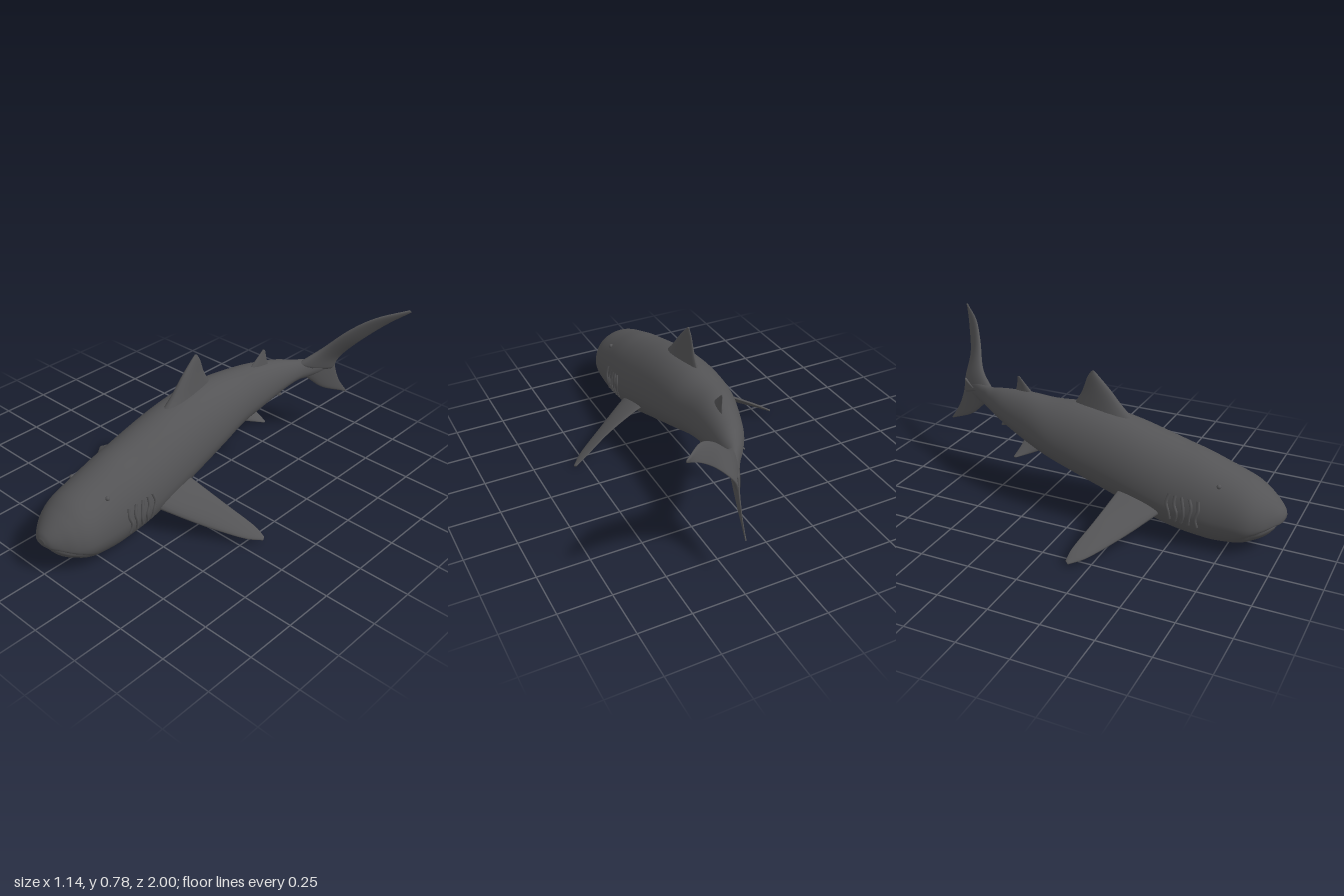
import * as THREE from 'three';

const V = (p) => new THREE.Vector3(...p);
const curve = (pts) => new THREE.CatmullRomCurve3(pts.map(V), false, 'catmullrom', 0.5);

// Skin a closed surface over rings of points, closing both ends
function loft(rings) {
  const n = rings[0].length;
  const centre = (r) => r.reduce((s, p) => s.add(p), new THREE.Vector3()).divideScalar(n);
  const fill = (p) => Array.from({ length: n }, () => p.clone());
  const rows = [fill(centre(rings[0])), ...rings, fill(centre(rings[rings.length - 1]))];
  const pos = [], index = [];
  rows.forEach((r) => r.forEach((p) => pos.push(p.x, p.y, p.z)));
  for (let i = 0; i < rows.length - 1; i++) {
    for (let j = 0; j < n; j++) {
      const a = i * n + j, b = i * n + (j + 1) % n;
      index.push(a, a + n, b, b, a + n, b + n);
    }
  }
  const g = new THREE.BufferGeometry();
  g.setAttribute('position', new THREE.Float32BufferAttribute(pos, 3));
  g.setIndex(index);
  g.computeVertexNormals();
  return g;
}

// Body stations: z, top y, bottom y, centre x, half width
const STATIONS = [
  [1.0, 0.195, 0.17, 0, 0.02], [0.985, 0.222, 0.135, 0, 0.055], [0.95, 0.258, 0.085, 0, 0.097],
  [0.9, 0.297, 0.05, 0, 0.138], [0.83, 0.34, 0.022, 0, 0.165], [0.7, 0.39, 0.003, 0, 0.176],
  [0.6, 0.425, 0.008, 0, 0.182], [0.5, 0.452, 0.022, 0, 0.186], [0.4, 0.48, 0.048, 0, 0.187],
  [0.25, 0.52, 0.1, 0, 0.182], [0.1, 0.548, 0.15, 0, 0.173], [-0.05, 0.556, 0.2, 0, 0.16],
  [-0.2, 0.546, 0.25, 0.003, 0.138], [-0.35, 0.542, 0.295, 0.03, 0.11], [-0.5, 0.522, 0.348, 0.065, 0.08],
  [-0.6, 0.498, 0.378, 0.1, 0.052], [-0.66, 0.49, 0.385, 0.13, 0.036], [-0.73, 0.485, 0.395, 0.162, 0.024],
  [-0.81, 0.46, 0.41, 0.192, 0.008],
];
const heights = curve(STATIONS.map((s) => [s[0], s[1], s[2]]));
const widths = curve(STATIONS.map((s) => [s[3], s[4], 0]));

function bodyPoint(t, a) {
  const h = heights.getPoint(t), w = widths.getPoint(t);
  const mid = h.z + 0.42 * (h.y - h.z), s = Math.sin(a);
  return new THREE.Vector3(w.x + w.y * Math.cos(a), mid + s * (s > 0 ? h.y - mid : mid - h.z), h.x);
}

// Set the lower jaw back and press in the mouth line
function shapeMouth(p) {
  if (p.z < 0.8) return p;
  const line = 0.145 - 0.45 * Math.max(0, 0.97 - p.z), d = p.y - line;
  const fade = Math.min(1, (p.z - 0.8) / 0.08);
  const jaw = THREE.MathUtils.smoothstep(-d, -0.004, 0.012);
  const inset = fade * (0.014 * Math.exp(-((d / 0.009) ** 2)) + 0.012 * jaw);
  p.x *= 1 - inset * 5;
  p.z -= inset * 1.3;
  return p;
}

function bodyGeometry(rows = 170, sides = 72) {
  const rings = [];
  for (let i = 0; i <= rows; i++) {
    rings.push(Array.from({ length: sides }, (_, j) => shapeMouth(bodyPoint(i / rows, (j / sides) * Math.PI * 2))));
  }
  return loft(rings);
}

// Point on the flank at a given z and y
function flankPoint(z, y, side) {
  let lo = 0, hi = 1;
  for (let k = 0; k < 30; k++) {
    const m = (lo + hi) / 2;
    if (heights.getPoint(m).x > z) lo = m; else hi = m;
  }
  const h = heights.getPoint(lo), mid = h.z + 0.42 * (h.y - h.z);
  const a = Math.asin(THREE.MathUtils.clamp((y - mid) / (y > mid ? h.y - mid : mid - h.z), -1, 1));
  return bodyPoint(lo, side > 0 ? a : Math.PI - a);
}

// Fin between a leading and a trailing edge, with a rounded foil section
function finGeometry(lead, trail, thick, thin = 0.003, rows = 28, sides = 20) {
  const L = curve(lead), T = curve(trail);
  const mid = (t) => L.getPoint(t).add(T.getPoint(t)).multiplyScalar(0.5);
  const rings = [];
  for (let i = 0; i <= rows; i++) {
    const t = i / rows, c = mid(t);
    const chord = L.getPoint(t).sub(c);
    const span = mid(Math.min(1, t + 0.02)).sub(mid(Math.max(0, t - 0.02)));
    const n = chord.clone().cross(span).normalize();
    const half = Math.min(thin + (thick - thin) * (1 - t) ** 1.3, chord.length());
    rings.push(Array.from({ length: sides }, (_, j) => {
      const a = (j / sides) * Math.PI * 2, bulge = 1 + 0.35 * Math.cos(a);
      return c.clone().addScaledVector(chord, Math.cos(a)).addScaledVector(n, half * bulge * Math.sin(a));
    }));
  }
  return loft(rings);
}

export function createModel() {
  const group = new THREE.Group();
  const skin = new THREE.MeshStandardMaterial({ color: 0x545456 });
  skin.name = 'dark grey skin';
  const add = (name, geometry) => {
    const m = new THREE.Mesh(geometry, skin);
    m.name = name;
    group.add(m);
    return m;
  };

  add('body', bodyGeometry());

  // Fins along the midline
  add('firstDorsalFin', finGeometry(
    [[0, 0.49, 0.27], [0, 0.56, 0.19], [0, 0.65, 0.11], [0, 0.71, 0.05], [0, 0.733, 0.025]],
    [[0, 0.49, -0.09], [0, 0.555, -0.07], [0, 0.62, -0.035], [0, 0.69, -0.01], [0, 0.728, 0.012]], 0.042));
  add('secondDorsalFin', finGeometry(
    [[0.035, 0.5, -0.29], [0.045, 0.555, -0.35], [0.053, 0.612, -0.41]],
    [[0.07, 0.49, -0.47], [0.065, 0.54, -0.435], [0.057, 0.608, -0.422]], 0.018));
  add('analFin', finGeometry(
    [[0.055, 0.38, -0.42], [0.065, 0.335, -0.47], [0.08, 0.308, -0.53]],
    [[0.085, 0.4, -0.53], [0.08, 0.35, -0.525], [0.082, 0.31, -0.542]], 0.014));

  // Tail swept towards the left
  add('upperTailLobe', finGeometry(
    [[0.12, 0.475, -0.61], [0.195, 0.55, -0.71], [0.3, 0.665, -0.785], [0.4, 0.74, -0.865], [0.515, 0.78, -0.99]],
    [[0.195, 0.4, -0.825], [0.225, 0.475, -0.838], [0.315, 0.58, -0.855], [0.425, 0.69, -0.925], [0.525, 0.77, -0.997]],
    0.024, 0.004));
  add('lowerTailLobe', finGeometry(
    [[0.125, 0.42, -0.63], [0.145, 0.365, -0.69], [0.17, 0.29, -0.78], [0.212, 0.223, -0.925]],
    [[0.2, 0.48, -0.825], [0.2, 0.4, -0.838], [0.205, 0.31, -0.875], [0.217, 0.228, -0.932]], 0.02));

  // Paired fins, gills and eyes
  for (const s of [1, -1]) {
    const side = s > 0 ? 'left' : 'right';
    const edge = (pts, cx = 0) => pts.map(([x, y, z]) => [cx + s * x, y, z]);
    add(side + 'PectoralFin', finGeometry(
      edge([[0.13, 0.155, 0.46], [0.2, 0.135, 0.425], [0.34, 0.085, 0.34], [0.5, 0.037, 0.235], [0.568, 0.02, 0.165]]),
      edge([[0.13, 0.225, 0.23], [0.2, 0.205, 0.225], [0.36, 0.14, 0.195], [0.5, 0.068, 0.155], [0.558, 0.03, 0.148]]),
      0.028, 0.005));
    add(side + 'PelvicFin', finGeometry(
      edge([[0.04, 0.31, -0.18], [0.075, 0.27, -0.27], [0.115, 0.24, -0.355]], 0.01),
      edge([[0.02, 0.33, -0.34], [0.07, 0.285, -0.35], [0.11, 0.24, -0.37]], 0.01), 0.016));
    for (let i = 0; i < 5; i++) {
      const z = 0.63 - i * 0.035;
      const pts = [0.12, 0.165, 0.21, 0.255].map((y, k) => flankPoint(z - 0.008 * Math.sin(k * 2 + i), y + i * 0.004, s));
      add(side + 'GillFold' + (i + 1), new THREE.TubeGeometry(new THREE.CatmullRomCurve3(pts), 14, 0.008, 8));
    }
    const eye = add(side + 'Eye', new THREE.SphereGeometry(0.011, 16, 10));
    eye.position.copy(flankPoint(0.71, 0.325, s));
  }
  return group;
}
